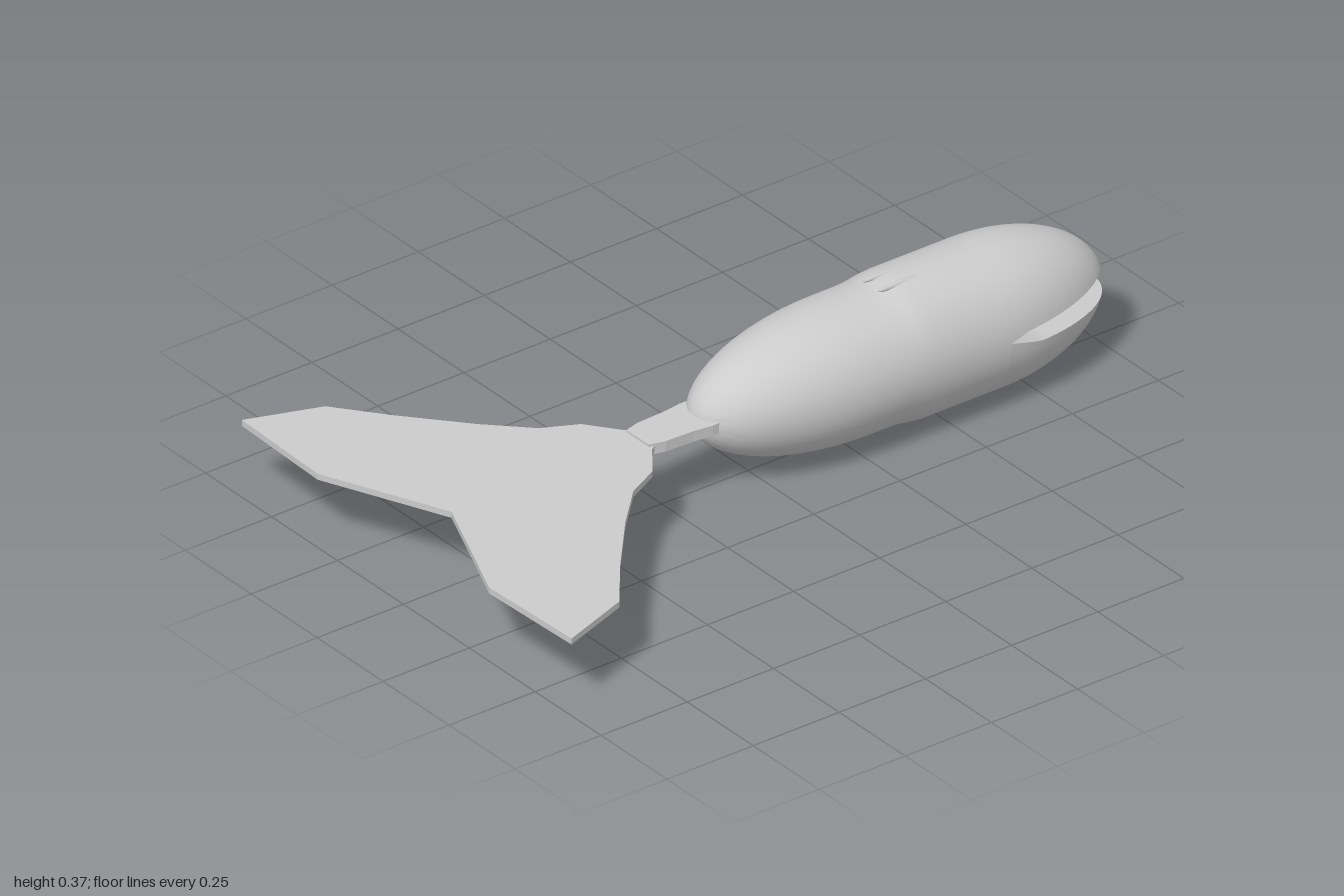
import * as THREE from 'three';
import { toCreasedNormals } from 'three/addons/utils/BufferGeometryUtils.js';

const CY = 0.187;          // height of the body axis
const HALF_W = 0.178;      // widest half width
const MOUTH_X = 0.63;      // corner of the mouth
const NOSE = { x: 0.66, a: 0.345, r: 0.186 };
const REAR = { x: 0.27, a: 0.43, r: 0.172 };
const ARC = 32;

// Body radii at x: a rounded rear, a slightly deeper middle and a rounded nose
function radii(x) {
  const e = x < REAR.x ? (x - REAR.x) / REAR.a : x > NOSE.x ? (x - NOSE.x) / NOSE.a : 0;
  const k = Math.sqrt(Math.max(0, 1 - e * e));
  const deep = THREE.MathUtils.smoothstep(x, 0.34, 0.43);
  return { v: k * THREE.MathUtils.lerp(REAR.r, NOSE.r, deep), w: k * HALF_W };
}

// Part of an elliptical cross-section between two angles
function arc(x, from, to, steps) {
  const { v, w } = radii(x);
  return Array.from({ length: steps }, (_, i) => {
    const a = from + (to - from) * i / (steps - 1);
    return [x, CY + v * Math.sin(a), w * Math.cos(a)];
  });
}

// Skin over closed rings that run along +x
function loft(rings) {
  const n = rings[0].length, index = [];
  for (let i = 0; i < rings.length - 1; i++) {
    for (let j = 0; j < n; j++) {
      const k = (j + 1) % n;
      const a = i * n + j, b = i * n + k, c = a + n, d = b + n;
      index.push(a, c, b, b, c, d);
    }
  }
  const g = new THREE.BufferGeometry();
  g.setAttribute('position', new THREE.Float32BufferAttribute(rings.flat(2), 3));
  g.setIndex(index);
  return toCreasedNormals(g, 0.6);
}

// Height on a polyline of [x, y] points
function heightAt(line, x) {
  let i = 1;
  while (i < line.length - 1 && x > line[i][0]) i++;
  const [p, q] = [line[i - 1], line[i]];
  return THREE.MathUtils.mapLinear(x, p[0], q[0], p[1], q[1]);
}

// One jaw: the nose above (side 1) or below (side -1) the mouth line
function jaw(line, side) {
  const tipGap = (line.at(-1)[1] - CY) / NOSE.r;
  const end = NOSE.x + NOSE.a * Math.sqrt(1 - tipGap * tipGap);
  const rings = [];
  for (let i = 0; i <= 24; i++) {
    const x = MOUTH_X + (end - MOUTH_X) * Math.sin(i / 24 * Math.PI / 2);
    const s = (heightAt(line, x) - CY) / radii(x).v;
    const a = Math.asin(THREE.MathUtils.clamp(s, -1, 1));
    rings.push(side > 0 ? arc(x, a, Math.PI - a, ARC) : arc(x, Math.PI - a, 2 * Math.PI + a, ARC));
  }
  return loft(rings);
}

// Flat plate from a half outline of [x, z], mirrored across z
function plate(half, thickness) {
  const mirrored = half.filter(p => p[1] > 0).reverse().map(([x, z]) => [x, -z]);
  const shape = new THREE.Shape([...half, ...mirrored].map(p => new THREE.Vector2(...p)));
  const g = new THREE.ExtrudeGeometry(shape, { depth: thickness, bevelEnabled: false });
  return g.rotateX(Math.PI / 2).translate(0, 0.19 + thickness / 2, 0);
}

export function createModel() {
  const group = new THREE.Group();
  const material = new THREE.MeshStandardMaterial({ color: 0xcccccc });
  const add = (name, geometry) => {
    const mesh = new THREE.Mesh(geometry, material);
    mesh.name = name;
    group.add(mesh);
    return mesh;
  };

  // Body from the tail root to the corner of the mouth
  const rings = [];
  for (let i = 0; i <= 14; i++) {
    rings.push(arc(REAR.x - REAR.a * Math.cos(i / 14 * Math.PI / 2), 0, 2 * Math.PI, ARC * 2));
  }
  for (const x of [0.34, 0.365, 0.385, 0.405, 0.43, 0.53, MOUTH_X]) {
    rings.push(arc(x, 0, 2 * Math.PI, ARC * 2));
  }
  add('body', loft(rings));

  // Jaws on either side of the open mouth
  add('upperJaw', jaw([[MOUTH_X, 0.197], [0.68, 0.212], [1, 0.229]], 1));
  add('lowerJaw', jaw([[MOUTH_X, 0.197], [0.72, 0.172], [1, 0.163]], -1));

  // Narrow tail stem
  add('tailStem', plate([
    [0, 0.06], [-0.15, 0.063], [-0.2, 0.056], [-0.28, 0.053], [-0.32, 0.042],
  ], 0.028));

  // Wide flat flukes
  add('tailFlukes', plate([
    [-0.3, 0.042], [-0.32, 0.055], [-0.38, 0.135], [-0.47, 0.18], [-0.57, 0.28],
    [-0.7, 0.43], [-0.8, 0.558], [-0.99, 0.625], [-1, 0.325], [-0.86, 0],
  ], 0.016));

  // Thin ridges along the middle of the back and belly
  for (const up of [1, -1]) {
    for (const side of [1, -1]) {
      const ridge = add(up > 0 ? 'backRidge' : 'bellyRidge', new THREE.SphereGeometry(1, 16, 10));
      ridge.scale.set(0.065, 0.008, 0.008);
      ridge.position.set(0.42, CY + up * 0.178, side * 0.028);
    }
  }
  return group;
}
